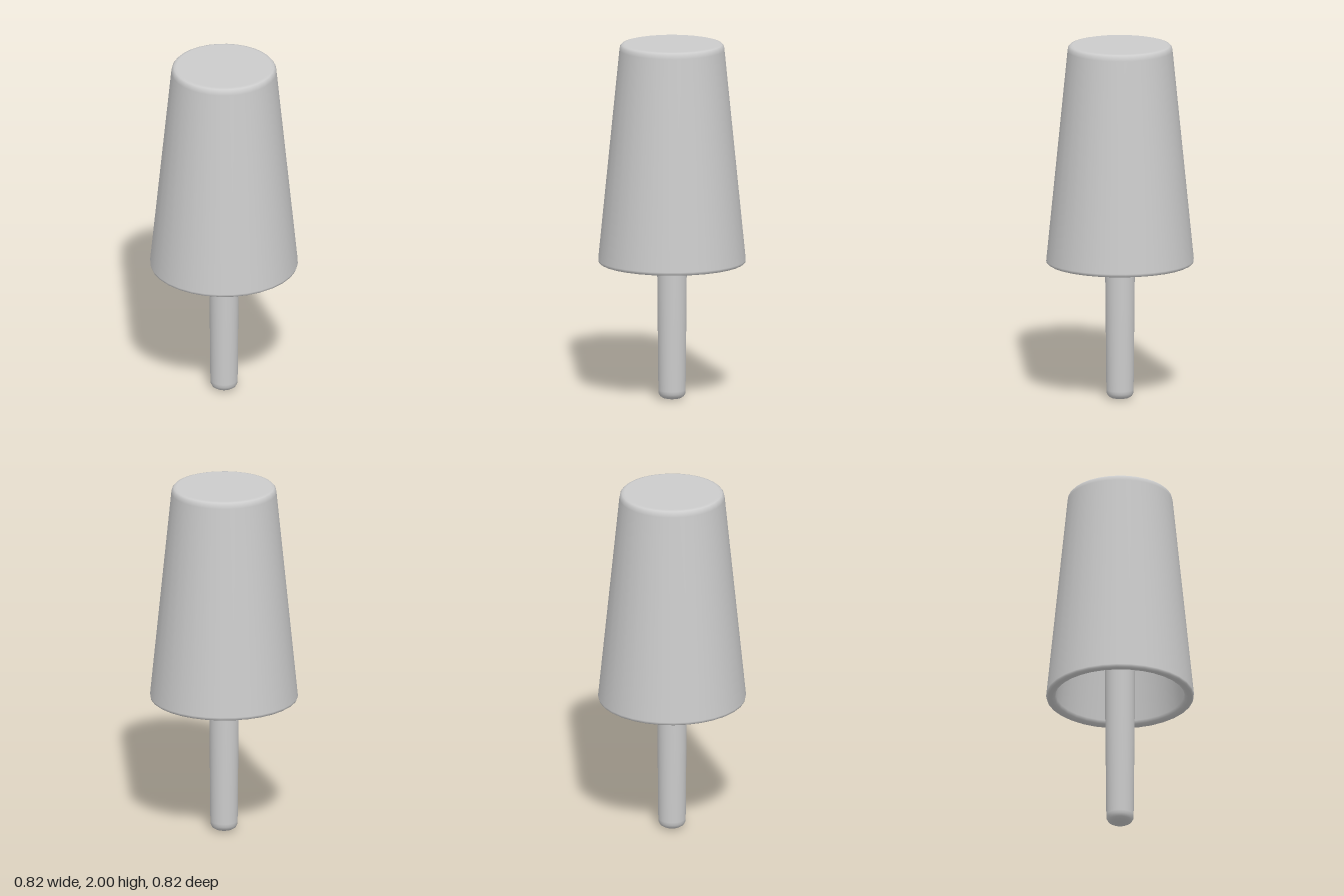
import * as THREE from 'three';

const SIDES = 32;
const material = new THREE.MeshStandardMaterial({ color: 0xcccccc });

// Revolve a profile of [radius, height] points around the y axis
function turned(name, profile, sides) {
  const points = profile.map(([r, y]) => new THREE.Vector2(r, y));
  const mesh = new THREE.Mesh(new THREE.LatheGeometry(points, sides), material);
  mesh.name = name;
  return mesh;
}

export function createModel() {
  const group = new THREE.Group();
  group.name = 'taperedCapOnStem';

  // Hollow tapered cap: cavity ceiling, inner wall, rounded rim, outer wall, rounded top
  group.add(turned('cap', [
    [0, 1.93], [0.22, 1.93], [0.245, 1.9],
    [0.355, 0.79], [0.363, 0.772], [0.38, 0.765],
    [0.398, 0.766], [0.407, 0.772], [0.41, 0.785],
    [0.292, 1.965], [0.288, 1.985], [0.278, 1.996], [0.262, 2], [0, 2],
  ], SIDES));

  // Slim stem with a rounded foot, running up to the cavity ceiling
  group.add(turned('stem', [
    [0.028, 0], [0.05, 0.005], [0.066, 0.015], [0.075, 0.032], [0.076, 0.05],
    [0.082, 0.66], [0.083, 1.93],
  ], SIDES));

  // Small flat disc closing the foot
  const footCap = new THREE.Mesh(new THREE.CircleGeometry(0.028, SIDES), material);
  footCap.name = 'footCap';
  footCap.rotation.x = Math.PI / 2;
  group.add(footCap);

  return group;
}
